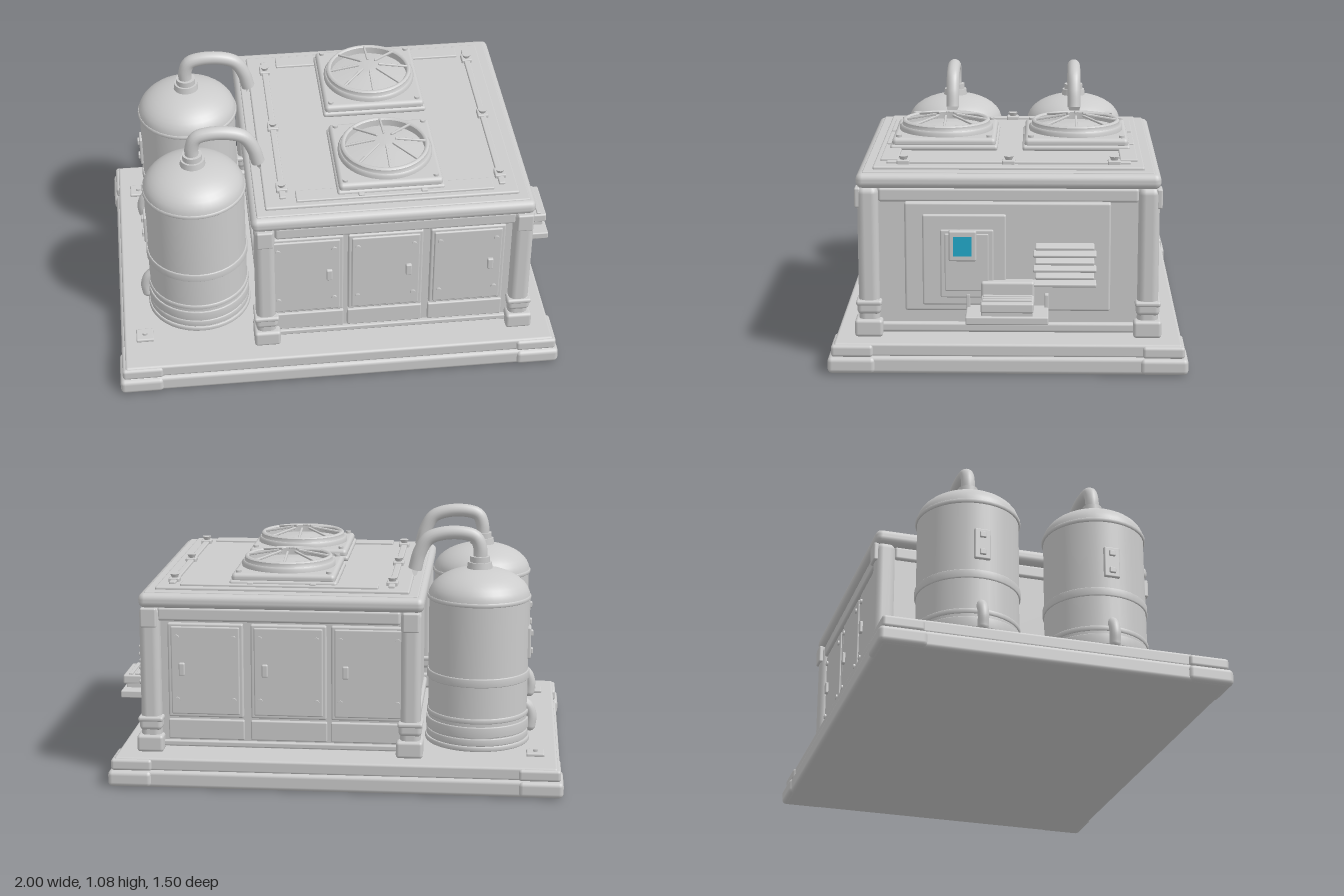
import * as THREE from 'three';
import { RoundedBoxGeometry } from 'three/addons/geometries/RoundedBoxGeometry.js';

const grey = new THREE.MeshStandardMaterial({ color: 0xcccccc });
const greyDouble = new THREE.MeshStandardMaterial({ color: 0xcccccc, side: THREE.DoubleSide });
const cyan = new THREE.MeshStandardMaterial({ color: 0x22aacc });

function add(parent, name, geometry, x = 0, y = 0, z = 0, material = grey) {
  const mesh = new THREE.Mesh(geometry, material);
  mesh.name = name;
  mesh.position.set(x, y, z);
  parent.add(mesh);
  return mesh;
}

// Box given by its limits on each axis, with optional rounded edges
function box(parent, name, [x0, x1], [y0, y1], [z0, z1], r = 0, material = grey) {
  const s = [x1 - x0, y1 - y0, z1 - z0];
  const g = r ? new RoundedBoxGeometry(...s, 2, Math.min(r, Math.min(...s) * 0.48)) : new THREE.BoxGeometry(...s);
  return add(parent, name, g, (x0 + x1) / 2, (y0 + y1) / 2, (z0 + z1) / 2, material);
}

const cyl = (r0, r1, h, n = 24) => new THREE.CylinderGeometry(r0, r1, h, n);

function group(parent, name, x = 0, y = 0, z = 0) {
  const g = new THREE.Group();
  g.name = name;
  g.position.set(x, y, z);
  parent.add(g);
  return g;
}

// Lathe from straight runs, each run keeping its own crisp edge
function lathe(parent, name, runs, n = 40) {
  const g = group(parent, name);
  for (const run of runs) {
    const pts = run.map(([r, y]) => new THREE.Vector2(r, y));
    add(g, name + 'Surface', new THREE.LatheGeometry(pts, n), 0, 0, 0, greyDouble);
  }
  return g;
}

function buildBase(root) {
  const base = group(root, 'base');
  box(base, 'lowerSlab', [-0.99, 0.935], [0, 0.075], [-0.74, 0.74], 0.018);
  box(base, 'upperSlab', [-0.975, 0.92], [0.07, 0.128], [-0.725, 0.725], 0.012);
  for (const s of [-1, 1]) {
    for (const [a, b, c] of [[-1, -0.81, 0.012], [0.755, 0.945, -0.012]]) {
      const z = [s * 0.55, s * 0.75].sort((p, q) => p - q);
      box(base, 'cornerCap', [a, b], [0.002, 0.072], z, 0.02);
      const zu = [s * 0.56, s * 0.735].sort((p, q) => p - q);
      box(base, 'upperCornerCap', [a + Math.max(c, 0), b + Math.min(c, 0)], [0.07, 0.122], zu, 0.014);
    }
    // anchor pads beside the tanks
    box(base, 'anchorPad', [-0.92, -0.842], [0.125, 0.142], [s * 0.52 - 0.038, s * 0.52 + 0.038], 0.006);
    add(base, 'anchorBolt', cyl(0.013, 0.013, 0.012, 6), -0.881, 0.146, s * 0.52);
  }
}

function buildTank(root, z) {
  const tank = group(root, 'tank', -0.625, 0, z);
  const dome = [];
  for (let i = 0; i <= 10; i++) {
    const a = (i / 10) * Math.PI / 2;
    dome.push([0.222 * Math.cos(a), 0.775 + 0.125 * Math.sin(a)]);
  }
  lathe(tank, 'vessel', [[[0.218, 0.13], [0.218, 0.775]], dome]);
  // foot ring and reinforcing bands
  for (const [y0, y1, r] of [[0.128, 0.15, 0.23], [0.15, 0.182, 0.224], [0.187, 0.235, 0.226],
    [0.25, 0.272, 0.224], [0.412, 0.45, 0.225], [0.764, 0.782, 0.226]]) {
    lathe(tank, 'band', [[[0.21, y0], [r - 0.004, y0]], [[r - 0.004, y0], [r, y0 + 0.004], [r, y1 - 0.004], [r - 0.004, y1]],
      [[r - 0.004, y1], [0.21, y1]]]);
  }
  // neck and bent pipe
  add(tank, 'neckFlange', cyl(0.052, 0.056, 0.03), 0, 0.908, 0);
  add(tank, 'neckCollar', cyl(0.043, 0.043, 0.03), 0, 0.933, 0);
  const path = new THREE.CatmullRomCurve3([[0, 0.9], [0, 0.985], [0.02, 1.03], [0.07, 1.047], [0.16, 1.045], [0.225, 1.02],
    [0.262, 0.96], [0.282, 0.885]].map(([x, y]) => new THREE.Vector3(x, y, 0)), false, 'centripetal');
  add(tank, 'pipe', new THREE.TubeGeometry(path, 40, 0.03, 16), 0, 0, 0, greyDouble);
  const end = add(tank, 'pipeEnd', new THREE.CircleGeometry(0.03, 16), 0.282, 0.886, 0, greyDouble);
  end.lookAt(0.302, 0.81, 0);
  // drain elbow and gauge plate on the outer side
  const drain = new THREE.CatmullRomCurve3([[-0.2, 0.3], [-0.225, 0.275], [-0.237, 0.235], [-0.233, 0.19]]
    .map(([x, y]) => new THREE.Vector3(x, y, 0)));
  add(tank, 'drain', new THREE.TubeGeometry(drain, 14, 0.024, 12), 0, 0, 0, greyDouble);
  add(tank, 'drainEnd', new THREE.SphereGeometry(0.024, 12, 8), -0.233, 0.19, 0);
  box(tank, 'gaugePlate', [-0.229, -0.205], [0.5, 0.64], [-0.035, 0.035], 0.006);
  for (const y of [0.53, 0.61]) box(tank, 'gaugeFitting', [-0.238, -0.22], [y - 0.013, y + 0.013], [-0.014, 0.014], 0.004);
}

function buildDoorSide(root, s) {
  const side = group(root, s > 0 ? 'frontDoors' : 'backDoors');
  const zs = (a, b) => (s > 0 ? [a, b] : [-b, -a]);
  box(side, 'topBeam', [-0.3, 0.74], [0.705, 0.765], zs(0.57, 0.612), 0.012);
  box(side, 'bottomBeam', [-0.3, 0.73], [0.148, 0.172], zs(0.57, 0.6), 0.006);
  for (const x of [-0.168, 0.178, 0.536]) {
    box(side, 'door', [x - 0.163, x + 0.163], [0.28, 0.695], zs(0.575, 0.602), 0.008);
    box(side, 'doorPanel', [x - 0.148, x + 0.148], [0.295, 0.682], zs(0.59, 0.61), 0.006);
    box(side, 'kickPanel', [x - 0.165, x + 0.165], [0.18, 0.268], zs(0.57, 0.597), 0.006);
    box(side, 'handle', [x + 0.087, x + 0.113], [0.468, 0.524], zs(0.605, 0.624), 0.006);
    for (const dx of [-0.122, 0.122]) for (const y of [0.36, 0.635]) {
      add(side, 'doorBolt', cyl(0.012, 0.012, 0.012, 10), x + dx, y, s * 0.612).rotation.x = Math.PI / 2;
    }
  }
}

function buildHousing(root) {
  const h = group(root, 'housing');
  box(h, 'body', [-0.35, 0.785], [0.142, 0.77], [-0.58, 0.58]);
  // corner posts
  for (const x of [-0.345, 0.775]) for (const s of [-1, 1]) {
    const post = group(h, 'cornerPost', x, 0, s * 0.583);
    box(post, 'post', [-0.044, 0.044], [0.14, 0.77], [-0.044, 0.044], 0.03);
    box(post, 'foot', [-0.055, 0.06], [0.128, 0.203], [-0.058, 0.06], 0.014);
    box(post, 'collar', [-0.05, 0.05], [0.222, 0.288], [-0.05, 0.05], 0.02);
    box(post, 'collarBand', [-0.054, 0.054], [0.262, 0.285], [-0.054, 0.054], 0.01);
    box(post, 'bracket', [-0.035, 0.035], [0.68, 0.765], [s > 0 ? 0.03 : -0.055, s > 0 ? 0.055 : -0.03], 0.008);
  }
  for (const s of [-1, 1]) buildDoorSide(h, s);
  // end beams
  for (const x of [[-0.365, -0.34], [0.77, 0.805]]) {
    box(h, 'endTopBeam', x, [0.705, 0.765], [-0.54, 0.54], 0.012);
    box(h, 'endBottomBeam', x, [0.142, 0.185], [-0.54, 0.54], 0.012);
  }
  // roof tiers
  box(h, 'roofRim', [-0.4, 0.82], [0.762, 0.827], [-0.632, 0.632], 0.028);
  box(h, 'roofTier', [-0.375, 0.795], [0.815, 0.832], [-0.605, 0.605], 0.006);
  box(h, 'roofPlate', [-0.335, 0.755], [0.825, 0.845], [-0.565, 0.565], 0.008);
  for (const x of [-0.255, 0.69]) {
    box(h, 'roofRail', [x - 0.014, x + 0.014], [0.84, 0.856], [-0.51, 0.51], 0.005);
    for (const z of [-0.44, 0, 0.44]) {
      box(h, 'railClamp', [x - 0.024, x + 0.024], [0.84, 0.862], [z - 0.027, z + 0.027], 0.005);
      add(h, 'railBolt', cyl(0.021, 0.013, 0.018, 12), x, 0.869, z);
    }
  }
  for (const s of [-1, 1]) {
    box(h, 'roofStrip', [-0.2, 0.65], [0.84, 0.855], [s * 0.503 - 0.037, s * 0.503 + 0.037], 0.005);
    for (const x of [0.08, 0.35]) box(h, 'stripTab', [x - 0.013, x + 0.013], [0.84, 0.863], [s * 0.5 - 0.035, s * 0.5 + 0.035], 0.004);
  }
}

function buildFan(root, z) {
  const fan = group(root, 'fan', 0.21, 0, z);
  box(fan, 'fanBase', [-0.232, 0.232], [0.842, 0.868], [-0.232, 0.232], 0.012);
  box(fan, 'fanHousing', [-0.224, 0.224], [0.855, 0.897], [-0.224, 0.224], 0.018);
  for (const x of [-0.195, 0.195]) for (const dz of [-0.195, 0.195]) {
    add(fan, 'fanBolt', cyl(0.012, 0.012, 0.012, 10), x, 0.901, dz);
  }
  lathe(fan, 'fanRing', [[[0.205, 0.89], [0.205, 0.912], [0.198, 0.92]], [[0.198, 0.92], [0.192, 0.92], [0.192, 0.936]],
    [[0.192, 0.936], [0.186, 0.942], [0.178, 0.942], [0.173, 0.936]], [[0.173, 0.936], [0.173, 0.905]],
    [[0.173, 0.905], [0.09, 0.918], [0, 0.926]]], 48);
  // radial guard bars rising to the centre
  for (let i = 0; i < 8; i++) {
    const arm = group(fan, 'guardArm', 0, 0.948, 0);
    arm.rotation.y = (i * Math.PI) / 4;
    const bar = add(arm, 'guardBar', new RoundedBoxGeometry(0.142, 0.01, 0.01, 1, 0.003), 0.113, 0, 0);
    bar.rotation.z = -0.17;
  }
}

function buildControls(root) {
  const c = group(root, 'controlPanel');
  box(c, 'backPlate', [0.78, 0.83], [0.245, 0.71], [-0.425, 0.43], 0.01);
  box(c, 'controlPlate', [0.82, 0.846], [0.275, 0.662], [0.008, 0.355], 0.008);
  box(c, 'controlFrame', [0.835, 0.857], [0.31, 0.6], [0.06, 0.28], 0.006);
  box(c, 'controlInset', [0.84, 0.863], [0.34, 0.585], [0.08, 0.262], 0.005);
  box(c, 'screenHousing', [0.85, 0.882], [0.472, 0.602], [0.13, 0.245], 0.008);
  box(c, 'screen', [0.87, 0.886], [0.495, 0.578], [0.149, 0.226], 0, cyan);
  // louvres
  for (let i = 0; i < 6; i++) {
    const y = 0.372 + i * 0.0315, w = i % 2 ? 0.122 : 0.131;
    box(c, 'louvre', [0.822, 0.874], [y - 0.007, y + 0.007], [-0.235 - w, -0.235 + w], 0.005).rotation.z = -0.2;
  }
  // shelf with slatted surface
  box(c, 'shelfMount', [0.82, 0.88], [0.285, 0.385], [-0.11, 0.112], 0.012);
  box(c, 'shelfPlate', [0.825, 1.0], [0.236, 0.27], [-0.168, 0.172], 0.006);
  box(c, 'shelfDeck', [0.84, 0.985], [0.265, 0.29], [-0.105, 0.107], 0.005);
  box(c, 'shelfTray', [0.85, 1.0], [0.286, 0.328], [-0.108, 0.11], 0.008);
  for (const x of [0.905, 0.935, 0.965]) box(c, 'shelfSlat', [x - 0.009, x + 0.009], [0.32, 0.336], [-0.1, 0.102], 0.003);
  for (const z of [-0.16, 0.165]) box(c, 'shelfBracket', [0.825, 0.86], [0.265, 0.325], [z - 0.008, z + 0.008], 0.004);
}

export function createModel() {
  const root = new THREE.Group();
  root.name = 'coolingUnit';
  buildBase(root);
  buildHousing(root);
  buildControls(root);
  for (const z of [-0.285, 0.285]) {
    buildTank(root, z);
    buildFan(root, z);
  }
  return root;
}
